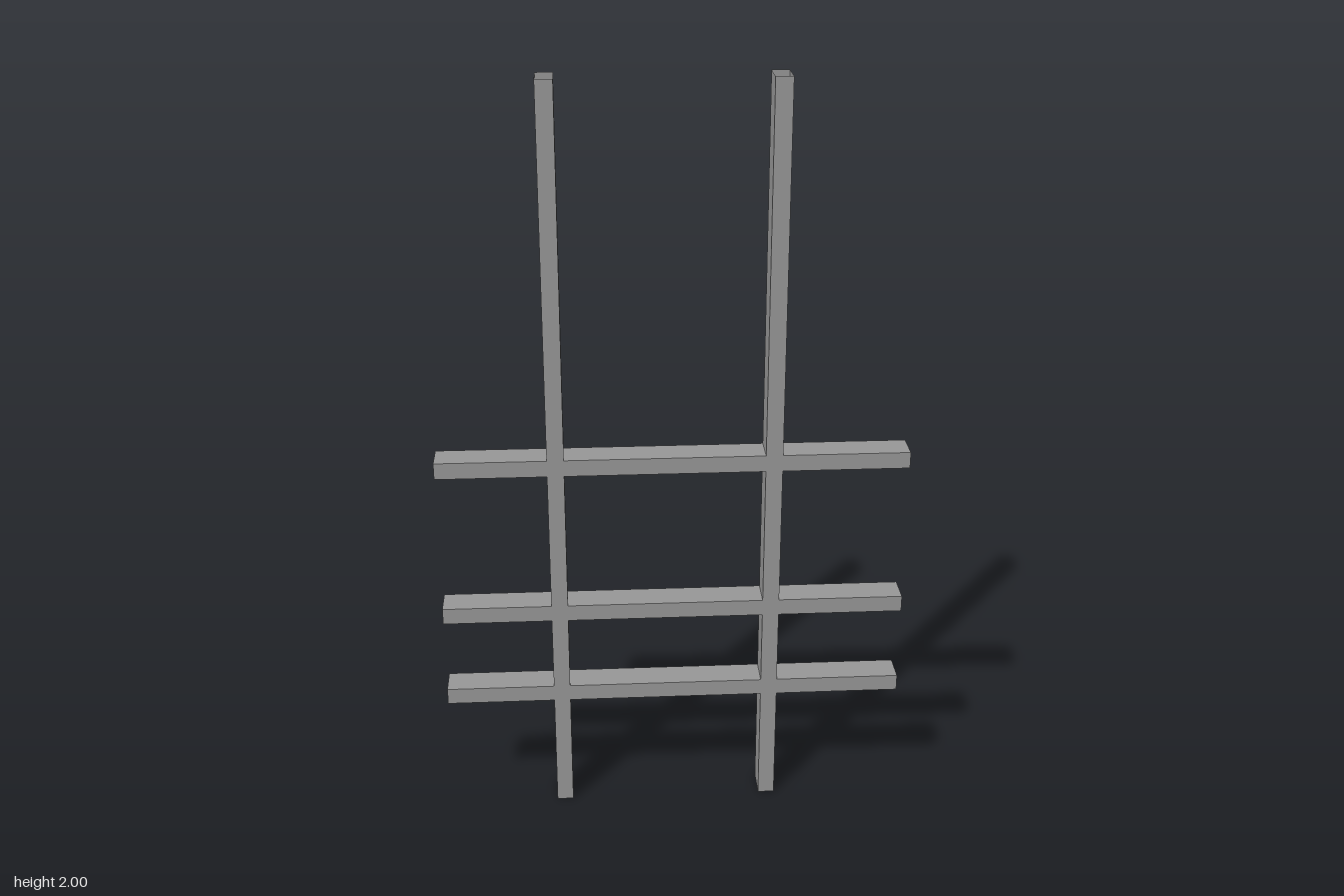
import * as THREE from 'three';

const WIDTH = 0.044;   // visible width of every tube
const DEPTH = 0.084;   // front-to-back size of every tube
const HEIGHT = 2;
const RAIL_HALF = 0.614;
const POSTS = [-0.304, 0.26];         // post centres in x
const RAILS = [0.344, 0.59, 1.011];   // rail centres in y

const material = new THREE.MeshStandardMaterial({
  color: 0x999999, flatShading: true, side: THREE.DoubleSide,
});

// Splits start..end into the stretches left between the crossings
function spans(start, end, crossings) {
  const cuts = [start, ...crossings.flatMap((c) => [c - WIDTH / 2, c + WIDTH / 2]), end];
  const out = [];
  for (let i = 0; i < cuts.length; i += 2) out.push([cuts[i], cuts[i + 1]]);
  return out;
}

// Thin flat wall
function addWall(parent, name, w, h, position, rotation = [0, 0, 0]) {
  const wall = new THREE.Mesh(new THREE.PlaneGeometry(w, h), material);
  wall.name = name;
  wall.position.set(...position);
  wall.rotation.set(...rotation);
  parent.add(wall);
}

export function createModel() {
  const model = new THREE.Group();
  model.name = 'tubeFrame';

  // Posts: full-height front and back, side walls open where rails pass through
  POSTS.forEach((x, i) => {
    const post = new THREE.Group();
    post.name = i ? 'leftPost' : 'rightPost';
    addWall(post, 'postFront', WIDTH, HEIGHT, [x, HEIGHT / 2, DEPTH / 2]);
    addWall(post, 'postBack', WIDTH, HEIGHT, [x, HEIGHT / 2, -DEPTH / 2], [0, Math.PI, 0]);
    for (const [a, b] of spans(0, HEIGHT, RAILS)) {
      for (const s of [-1, 1]) {
        addWall(post, 'postSide', DEPTH, b - a,
          [x + s * WIDTH / 2, (a + b) / 2, 0], [0, s * Math.PI / 2, 0]);
      }
    }
    model.add(post);
  });

  // Rails: four-walled open tubes running between and beyond the posts
  RAILS.forEach((y, i) => {
    const rail = new THREE.Group();
    rail.name = ['lowerRail', 'middleRail', 'upperRail'][i];
    for (const [a, b] of spans(-RAIL_HALF, RAIL_HALF, POSTS)) {
      const x = (a + b) / 2;
      addWall(rail, 'railFront', b - a, WIDTH, [x, y, DEPTH / 2]);
      addWall(rail, 'railBack', b - a, WIDTH, [x, y, -DEPTH / 2], [0, Math.PI, 0]);
      for (const s of [-1, 1]) {
        addWall(rail, s > 0 ? 'railTop' : 'railBottom', b - a, DEPTH,
          [x, y + s * WIDTH / 2, 0], [-s * Math.PI / 2, 0, 0]);
      }
    }
    model.add(rail);
  });

  return model;
}
